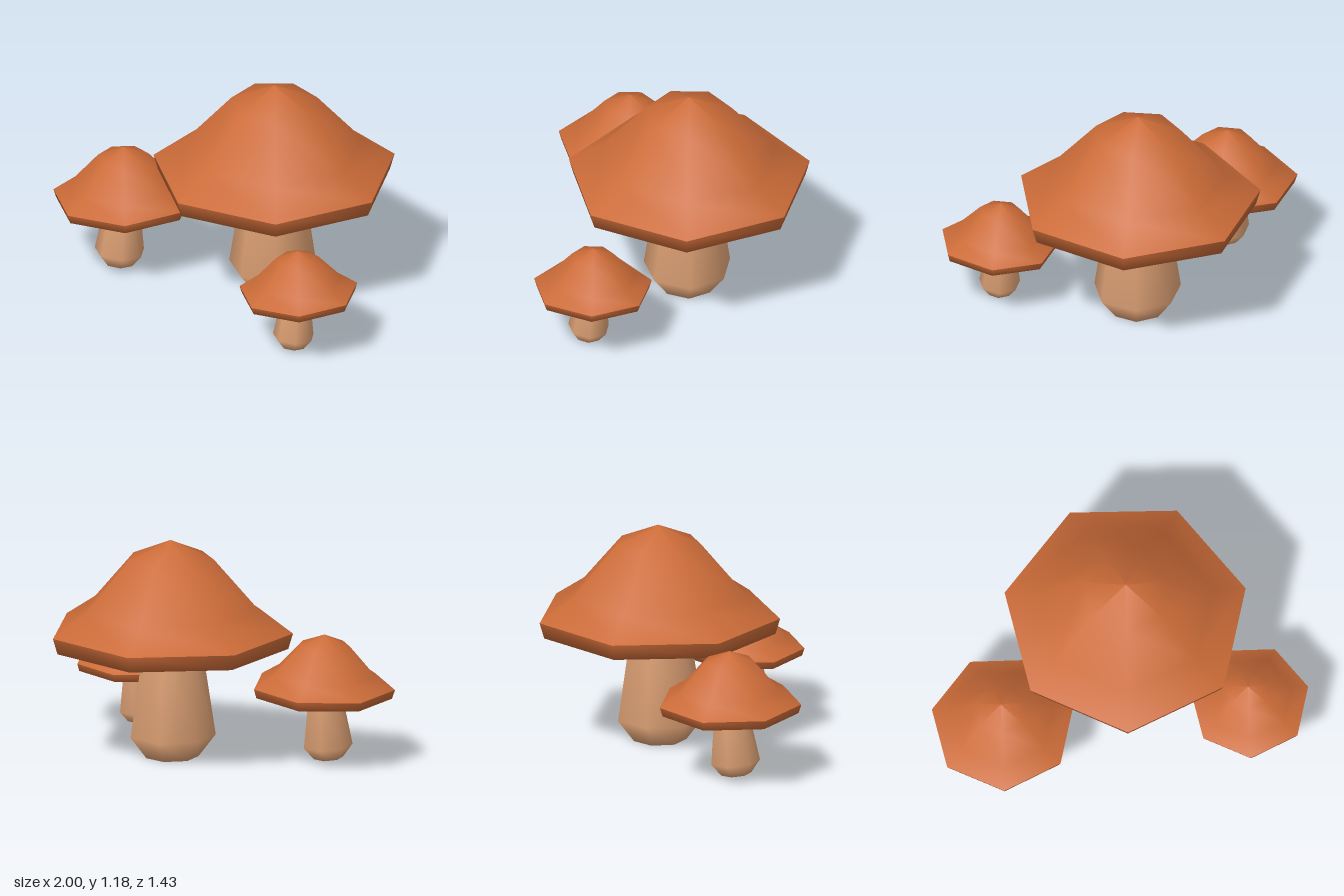
import * as THREE from 'three';

const SIDES = 7;

const capMaterial = new THREE.MeshStandardMaterial({ color: 0xcb6b38 });
capMaterial.name = 'rust cap';
const stemMaterial = new THREE.MeshStandardMaterial({ color: 0xdb9f73 });
stemMaterial.name = 'tan stem';

// Profiles as [radius, height], listed upwards; cap heights are relative to its rim
const DOME = [[0.655, 0], [0.475, 0.12], [0.233, 0.39], [0, 0.49]];
const UNDERSIDE = [[0, -0.085], [0.63, -0.085], [0.655, 0]];
const STEM = [[0, 0], [0.144, 0], [0.235, 0.12], [0.16, 0.62]];
const RIM_HEIGHT = 0.69;

function lathe(name, profile, material, phase) {
  const points = profile.map(([r, y]) => new THREE.Vector2(r, y));
  const mesh = new THREE.Mesh(new THREE.LatheGeometry(points, SIDES, phase), material);
  mesh.name = name;
  return mesh;
}

function mushroom({ name, size, capWidth, base, capCentre, capTilt, stemLean }) {
  const group = new THREE.Group();
  group.name = name;

  // Stem with a faceted bulge near the foot
  const stem = lathe('stem', STEM, stemMaterial, 0);
  stem.position.set(...base);
  stem.scale.setScalar(size);
  stem.rotation.x = stemLean;

  // Cap: smooth dome, with a crease at the rim where the underside begins
  const cap = new THREE.Group();
  cap.name = 'cap';
  cap.add(
    lathe('capDome', DOME, capMaterial, -0.08),
    lathe('capUnderside', UNDERSIDE, capMaterial, -0.08)
  );
  cap.position.set(capCentre[0], base[1] + RIM_HEIGHT * size, capCentre[1]);
  cap.scale.set(capWidth, size, capWidth);
  cap.rotation.z = capTilt;

  group.add(stem, cap);
  return group;
}

export function createModel() {
  const model = new THREE.Group();
  model.name = 'mushroomCluster';
  model.add(
    mushroom({
      name: 'largeMushroom', size: 1, capWidth: 1, base: [0.06, 0, -0.1],
      capCentre: [0.061, -0.107], capTilt: 0, stemLean: 0,
    }),
    mushroom({
      name: 'mediumMushroom', size: 0.572, capWidth: 0.588, base: [-0.64, 0.025, 0.36],
      capCentre: [-0.635, 0.326], capTilt: 0.04, stemLean: -0.08,
    }),
    mushroom({
      name: 'smallMushroom', size: 0.47, capWidth: 0.488, base: [0.668, 0.015, 0.335],
      capCentre: [0.68, 0.307], capTilt: 0.04, stemLean: -0.08,
    })
  );
  return model;
}
